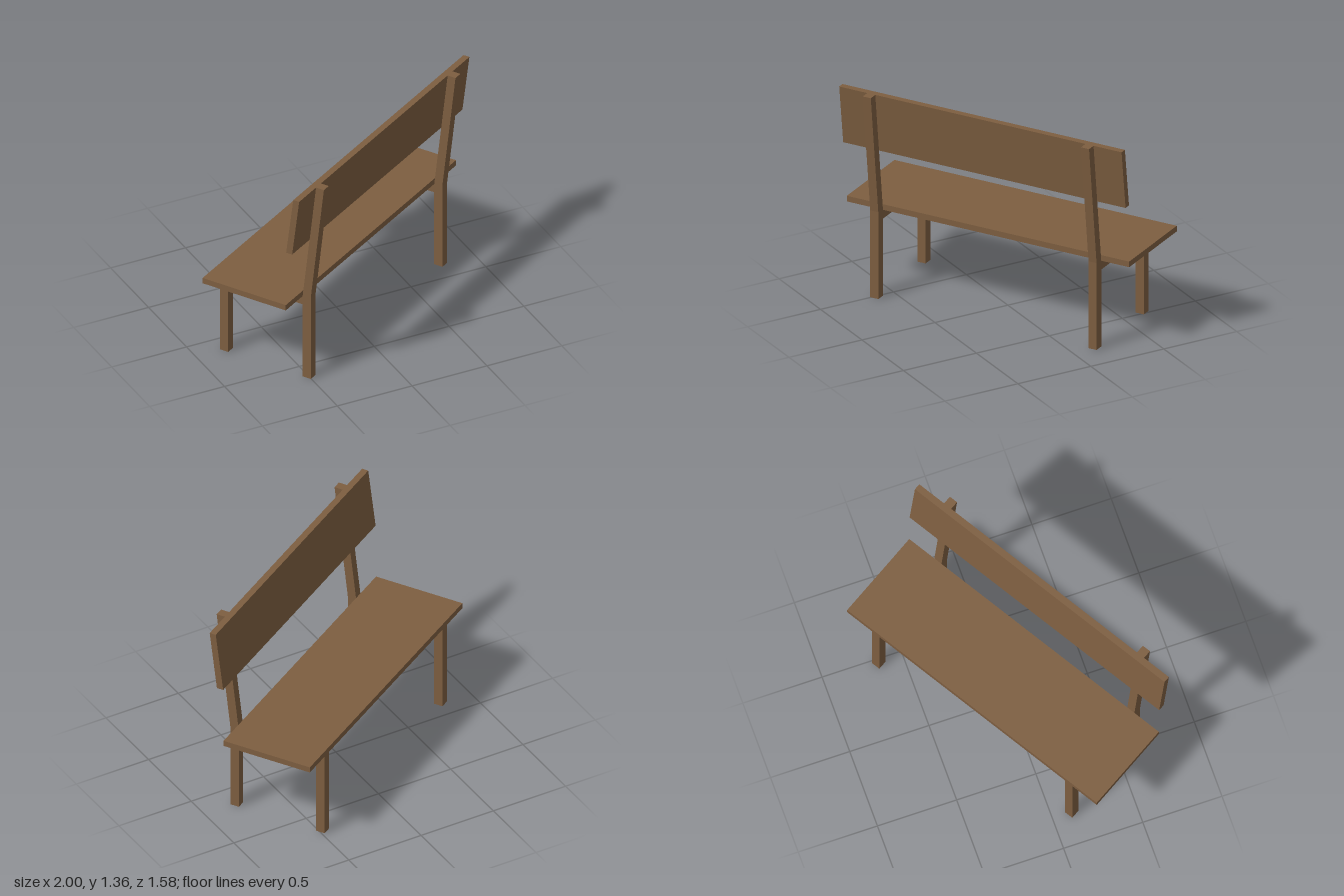
import * as THREE from 'three';

const wood = new THREE.MeshStandardMaterial({ color: 0x7d5e40, flatShading: true });

// Extrudes a side profile of [depth, height] points along the bench's length.
function profilePart(name, points, length, x = 0) {
  const shape = new THREE.Shape(points.map(([d, y]) => new THREE.Vector2(d, y)));
  const geometry = new THREE.ExtrudeGeometry(shape, { depth: length, bevelEnabled: false });
  geometry.translate(0, 0, -length / 2);
  geometry.rotateY(-Math.PI / 2);
  const mesh = new THREE.Mesh(geometry, wood);
  mesh.name = name;
  mesh.position.x = x;
  return mesh;
}

export function createModel() {
  const bench = new THREE.Group();
  bench.name = 'bench';
  const length = 1.925;

  // Seat plank
  const seat = new THREE.Mesh(new THREE.BoxGeometry(length, 0.037, 0.583), wood);
  seat.name = 'seat';
  seat.position.set(0, 0.5815, -0.0485);
  bench.add(seat);

  // Leaning back plank, cut level at top and bottom
  bench.add(profilePart('backrest',
    [[0.246, 0.97], [0.288, 0.97], [0.337, 1.355], [0.296, 1.355]], length));

  // Side frames: front leg, seat rail, rear leg and leaning post in one piece
  const frame = [
    [-0.337, 0], [-0.279, 0], [-0.279, 0.505], [0.242, 0.505], [0.242, 0],
    [0.3, 0], [0.3, 0.57], [0.392, 1.355], [0.337, 1.355], [0.243, 0.563], [-0.337, 0.563],
  ];
  for (const side of [-1, 1]) {
    bench.add(profilePart(side > 0 ? 'leftFrame' : 'rightFrame', frame, 0.055, side * 0.744));
  }

  // The whole bench stands at an angle
  bench.rotation.y = THREE.MathUtils.degToRad(31.3);
  const model = new THREE.Group();
  model.add(bench);
  return model;
}
